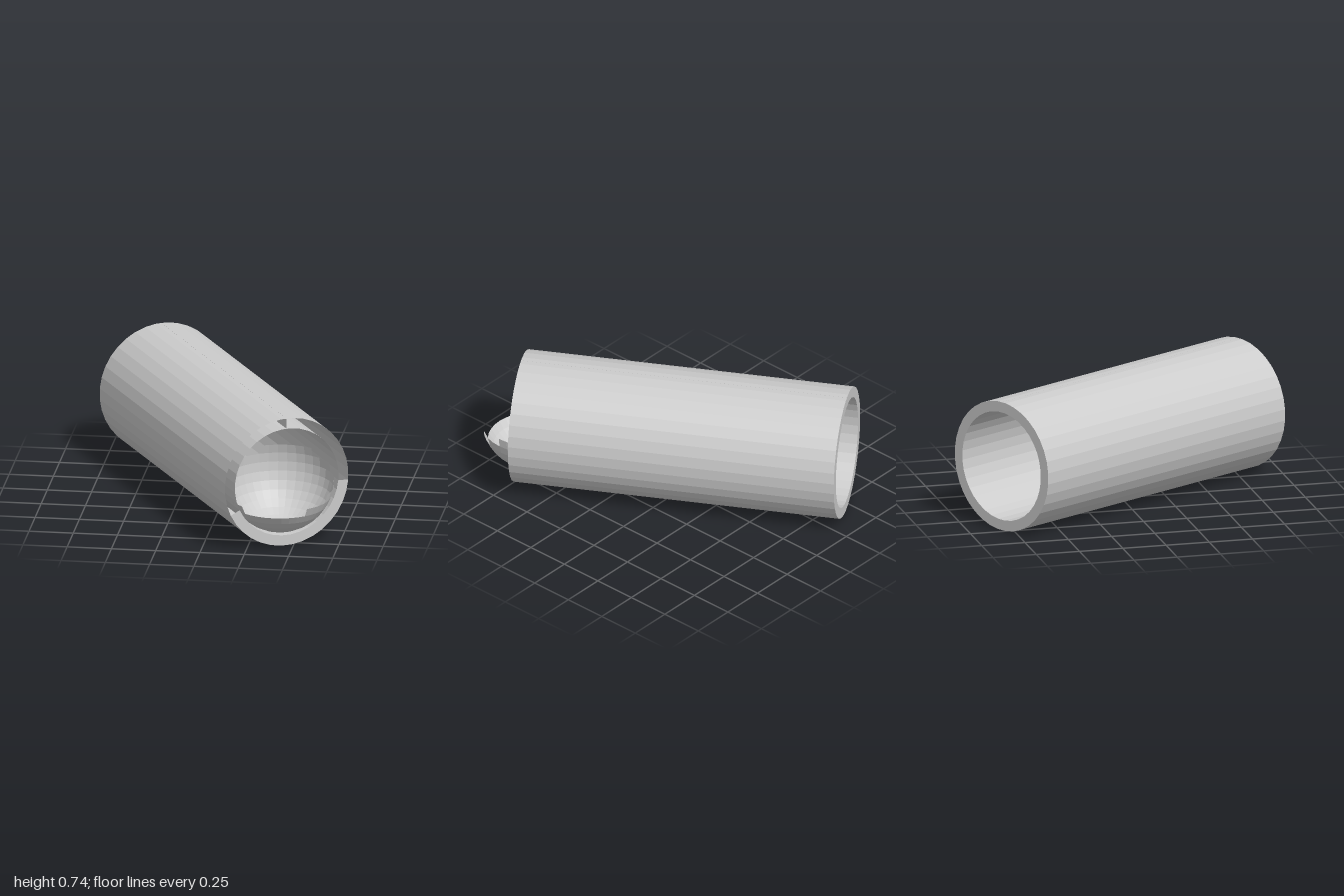
import * as THREE from 'three';
import { mergeGeometries } from 'three/addons/utils/BufferGeometryUtils.js';

const rad = THREE.MathUtils.degToRad;

export function createModel() {
  const model = new THREE.Group();
  const material = new THREE.MeshStandardMaterial({
    color: 0xcccccc, flatShading: true, side: THREE.DoubleSide,
  });
  const add = (parent, name, geometry) => {
    const mesh = new THREE.Mesh(geometry, material);
    mesh.name = name;
    parent.add(mesh);
    return mesh;
  };

  // Double-walled tube, lying on its side and turned about the vertical
  const outer = 0.373, inner = 0.313, length = 1.86, sides = 36;
  const tube = new THREE.Group();
  tube.name = 'tube';
  tube.position.set(-0.003, 0.372, -0.007);
  tube.rotation.y = rad(30);
  model.add(tube);

  const wall = (r) => new THREE.CylinderGeometry(r, r, length, sides, 1, true, rad(5)).rotateX(Math.PI / 2);
  add(tube, 'outerWall', wall(outer));
  add(tube, 'innerWall', wall(inner));

  // The back end is closed, the front end only along its lower part
  add(tube, 'backRim', new THREE.RingGeometry(inner, outer, sides, 1, rad(5)).rotateY(Math.PI))
    .position.z = -length / 2;
  add(tube, 'frontRim', new THREE.RingGeometry(inner, outer, 15, 1, rad(205), rad(150)))
    .position.z = length / 2;

  // Thin web between the two walls along the top
  add(tube, 'topWeb', new THREE.PlaneGeometry(length, outer - inner).rotateY(Math.PI / 2))
    .position.y = (outer + inner) / 2 - 0.001;

  // Bowl in the front mouth: a faceted sphere whose stepped rim dips to the front
  const radius = 0.304;
  const rimLatitude = (azimuth) => {
    const a = Math.abs(azimuth);
    if (a < 40) return -30;
    if (a < 70) return -20;
    if (a < 90) return -10;
    if (a < 120) return 0;
    return a < 150 ? 10 : 20;
  };
  const gores = [];
  for (let a = -180; a < 180; a += 10) {
    const profile = [];
    for (let lat = -90; lat <= rimLatitude(a + 5); lat += 10) {
      profile.push(new THREE.Vector2(radius * Math.cos(rad(lat)), radius * Math.sin(rad(lat))));
    }
    gores.push(new THREE.LatheGeometry(profile, 1, rad(a), rad(10)));
  }
  add(model, 'bowl', mergeGeometries(gores)).position.set(0.415, 0.372, 0.737);

  return model;
}
